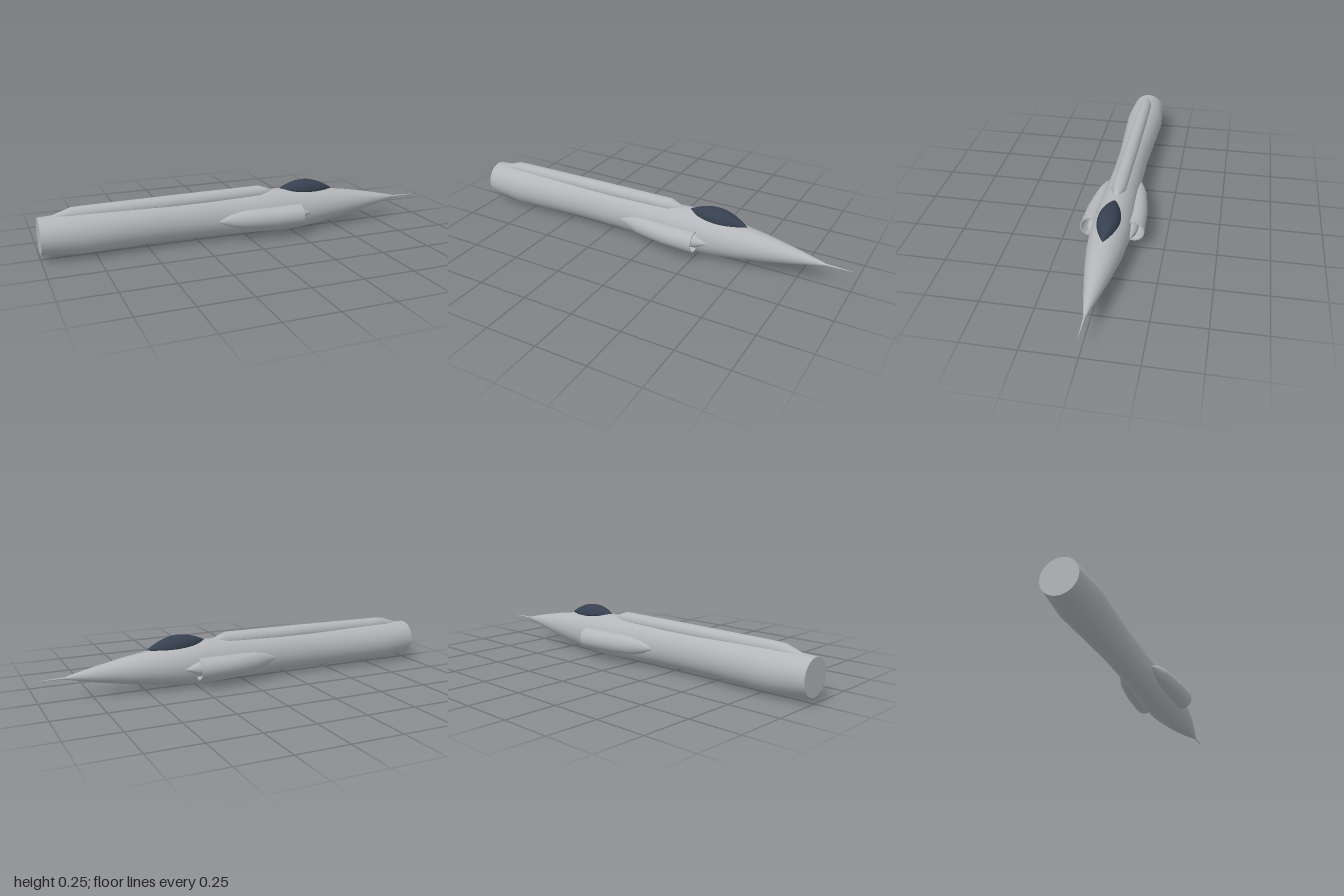
import * as THREE from 'three';

// Skins elliptical rings along x. Ring: [x, centreY, centreZ, topRadius, bottomRadius, halfWidth].
// Repeating a ring gives a crease.
function loft(rings, sides) {
  const pos = [], idx = [];
  for (const [x, cy, cz, top, bottom, w] of rings) {
    for (let j = 0; j < sides; j++) {
      const a = (j / sides) * Math.PI * 2, c = Math.cos(a);
      pos.push(x, cy + c * (c > 0 ? top : bottom), cz + Math.sin(a) * w);
    }
  }
  for (let i = 0; i < rings.length - 1; i++) {
    if (rings[i].every((v, k) => v === rings[i + 1][k])) continue;
    for (let j = 0; j < sides; j++) {
      const k = (j + 1) % sides;
      const a = i * sides + j, b = i * sides + k, c = a + sides, d = b + sides;
      idx.push(a, b, c, b, d, c);
    }
  }
  const geo = new THREE.BufferGeometry();
  geo.setAttribute('position', new THREE.Float32BufferAttribute(pos, 3));
  geo.setIndex(idx);
  geo.computeVertexNormals();
  return geo;
}

export function createModel() {
  const group = new THREE.Group();
  const grey = new THREE.MeshStandardMaterial({ name: 'airframe grey', color: 0xb4b6ba });
  const dark = new THREE.MeshStandardMaterial({ name: 'canopy tint', color: 0x364050 });
  const add = (name, geo, mat = grey) => {
    const mesh = new THREE.Mesh(geo, mat);
    mesh.name = name;
    group.add(mesh);
  };

  // Fuselage with flat tail, narrow waist and pointed nose
  add('fuselage', loft([
    [-1, 0.114, 0, 0, 0, 0],
    [-1, 0.114, 0, 0.086, 0.086, 0.085],
    [-1, 0.114, 0, 0.086, 0.086, 0.085],
    [-0.82, 0.11, 0, 0.1, 0.1, 0.1],
    [-0.62, 0.11, 0, 0.098, 0.096, 0.09],
    [-0.4, 0.109, 0, 0.097, 0.092, 0.079],
    [-0.2, 0.107, 0, 0.1, 0.092, 0.079],
    [0, 0.105, 0, 0.106, 0.096, 0.086],
    [0.2, 0.104, 0, 0.115, 0.103, 0.095],
    [0.32, 0.104, 0, 0.102, 0.097, 0.094],
    [0.45, 0.106, 0, 0.088, 0.083, 0.084],
    [0.6, 0.107, 0, 0.064, 0.062, 0.062],
    [0.75, 0.107, 0, 0.034, 0.034, 0.033],
    [0.87, 0.106, 0, 0.007, 0.007, 0.007],
  ], 32));

  // Nose probe
  add('noseProbe', loft([
    [0.85, 0.106, 0, 0.008, 0.008, 0.008],
    [0.88, 0.106, 0, 0.005, 0.005, 0.005],
    [1, 0.106, 0, 0.001, 0.001, 0.001],
    [1, 0.106, 0, 0, 0, 0],
  ], 12));

  // Dorsal spine
  add('dorsalSpine', loft([
    [-0.945, 0.198, 0, 0, 0, 0],
    [-0.935, 0.198, 0, 0.007, 0.01, 0.013],
    [-0.85, 0.2, 0, 0.034, 0.03, 0.033],
    [-0.8, 0.2, 0, 0.036, 0.03, 0.034],
    [-0.35, 0.203, 0, 0.038, 0.03, 0.036],
    [0.08, 0.206, 0, 0.038, 0.03, 0.036],
    [0.14, 0.207, 0, 0.015, 0.02, 0.015],
    [0.16, 0.207, 0, 0, 0, 0],
  ], 20));

  // Canopy: pointed bubble with a shallow underside
  const canopy = [];
  for (let i = 0; i <= 14; i++) {
    const t = i / 14, s = Math.pow(Math.sin(Math.PI * t), 0.9);
    const w = Math.max(0, s);
    canopy.push([0.18 + 0.31 * t, 0.211 - 0.018 * t, 0, 0.051 * w, 0.012 * w, 0.054 * w]);
  }
  add('canopy', loft(canopy, 28), dark);

  // Side intakes with hollow mouths and shock cones
  for (const side of [1, -1]) {
    const name = side > 0 ? 'right' : 'left';
    const ring = (x, y, z, h, w) => [x, y, z * side, h, h, w];
    add(name + 'Intake', loft([
      ring(-0.16, 0.104, 0.08, 0, 0),
      ring(-0.155, 0.104, 0.08, 0.006, 0.004),
      ring(-0.1, 0.104, 0.084, 0.03, 0.021),
      ring(-0.04, 0.103, 0.088, 0.044, 0.037),
      ring(0.04, 0.102, 0.094, 0.049, 0.044),
      ring(0.12, 0.101, 0.099, 0.051, 0.05),
      ring(0.265, 0.101, 0.102, 0.053, 0.053),
      ring(0.265, 0.101, 0.102, 0.053, 0.053),
      ring(0.265, 0.101, 0.102, 0.047, 0.047),
      ring(0.265, 0.101, 0.102, 0.047, 0.047),
      ring(0.1, 0.101, 0.098, 0.043, 0.042),
      ring(0.1, 0.101, 0.098, 0.043, 0.042),
      ring(0.1, 0.101, 0.098, 0, 0),
    ], 28));
    add(name + 'ShockCone', loft([
      ring(0.1, 0.102, 0.088, 0.033, 0.033),
      ring(0.24, 0.102, 0.088, 0.034, 0.034),
      ring(0.27, 0.102, 0.089, 0.03, 0.03),
      ring(0.325, 0.102, 0.094, 0.002, 0.002),
      ring(0.327, 0.102, 0.094, 0, 0),
    ], 24));
  }
  return group;
}
